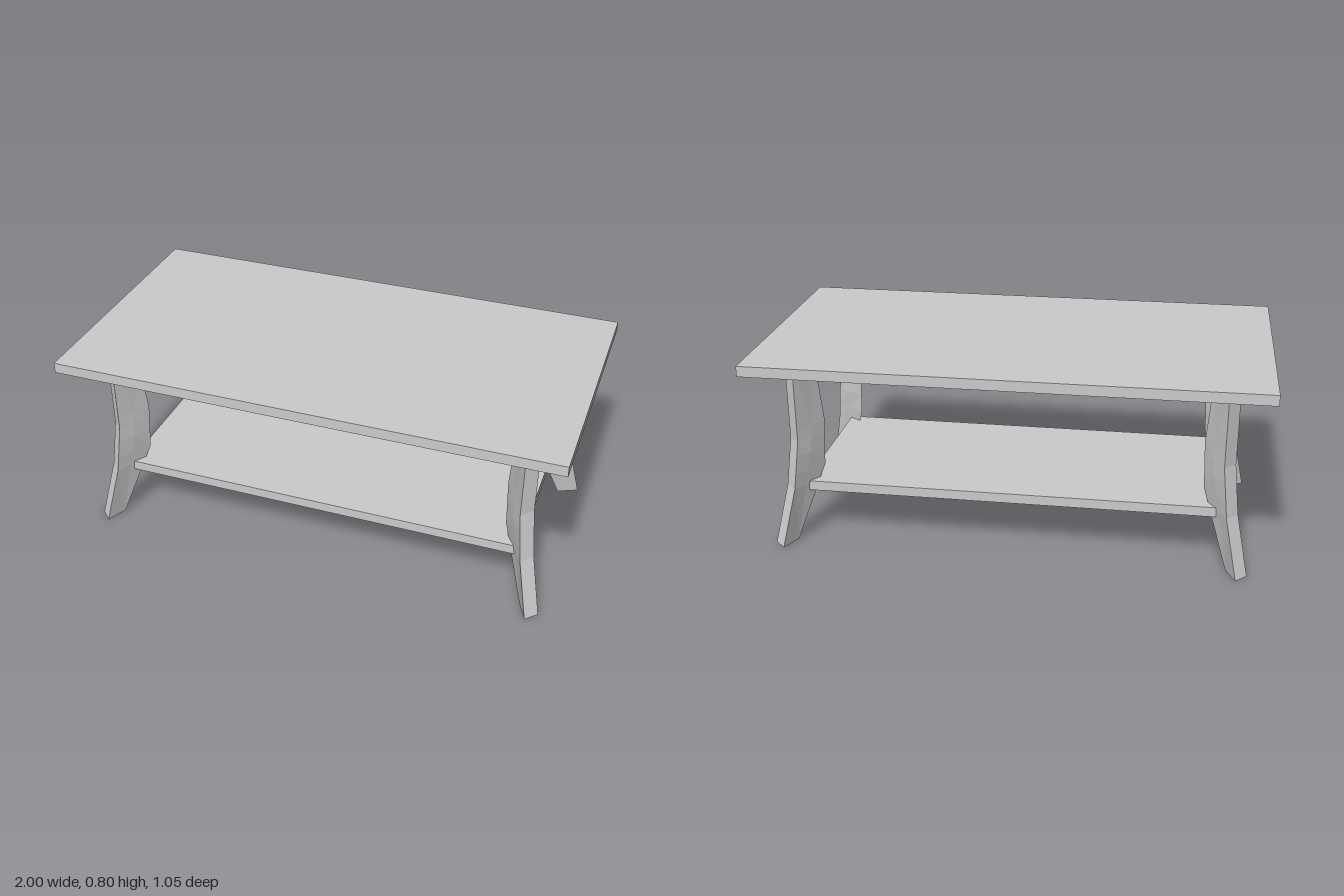
import * as THREE from 'three';

const material = new THREE.MeshStandardMaterial({ color: 0xcccccc, flatShading: true });

// Leg curves as [height, z] pairs, on the diagonal through the corner
const OUTER = [[0, 0.4375], [0.24, 0.389], [0.44, 0.3685], [0.757, 0.3685]];
const INNER = [[0, 0.378], [0.3, 0.278], [0.49, 0.27], [0.757, 0.29]];
const RIDGE = [[0, 0.378], [0.38, 0.3286], [0.757, 0.29]];
const RIDGE_HALF = [[0, 0], [0.38, 0.022], [0.757, 0]];
const LEVELS = [0, 0.24, 0.3, 0.38, 0.44, 0.49, 0.757];
const HALF_WIDTH = 0.031;
const DIAGONAL_OFFSET = 0.484; // x minus z along the leg diagonal

function sample(curve, y) {
  let i = 0;
  while (i < curve.length - 2 && y > curve[i + 1][0]) i++;
  const [y0, a] = curve[i], [y1, b] = curve[i + 1];
  return a + (b - a) * (y - y0) / (y1 - y0);
}

// Splayed leg: flat outer face, sides swelling to a ridge, then a sharp inner edge
function legGeometry(sx, sz) {
  const positions = [], indices = [], n = 5;
  for (const y of LEVELS) {
    const outer = sample(OUTER, y), ridge = sample(RIDGE, y), h = sample(RIDGE_HALF, y);
    const section = [
      [outer, HALF_WIDTH], [outer, -HALF_WIDTH], [ridge, -h], [sample(INNER, y), 0], [ridge, h],
    ];
    for (const [d, v] of section) {
      const s = v * Math.SQRT1_2;
      positions.push(sx * (d + DIAGONAL_OFFSET + s), y, sz * (d - s));
    }
  }
  const flip = sx * sz < 0;
  const tri = (a, b, c) => (flip ? indices.push(a, c, b) : indices.push(a, b, c));
  for (let k = 0; k < LEVELS.length - 1; k++) {
    for (let i = 0; i < n; i++) {
      const a = k * n + i, b = k * n + (i + 1) % n;
      tri(a, a + n, b);
      tri(b, a + n, b + n);
    }
  }
  // End caps
  const top = (LEVELS.length - 1) * n;
  for (let i = 1; i < n - 1; i++) {
    tri(0, i, i + 1);
    tri(top, top + i + 1, top + i);
  }
  const geometry = new THREE.BufferGeometry();
  geometry.setAttribute('position', new THREE.Float32BufferAttribute(positions, 3));
  geometry.setIndex(indices);
  const flat = geometry.toNonIndexed();
  flat.computeVertexNormals();
  return flat;
}

function board(name, width, height, depth, y) {
  const mesh = new THREE.Mesh(new THREE.BoxGeometry(width, height, depth), material);
  mesh.name = name;
  mesh.position.y = y;
  return mesh;
}

export function createModel() {
  const table = new THREE.Group();
  table.name = 'coffeeTable';

  table.add(board('tableTop', 2, 0.042, 1.052, 0.777));
  table.add(board('lowerShelf', 1.656, 0.04, 0.684, 0.229));

  // Four mirrored legs
  for (const sx of [-1, 1]) {
    for (const sz of [-1, 1]) {
      const leg = new THREE.Mesh(legGeometry(sx, sz), material);
      leg.name = (sz > 0 ? 'front' : 'back') + (sx > 0 ? 'Left' : 'Right') + 'Leg';
      table.add(leg);
    }
  }
  return table;
}
